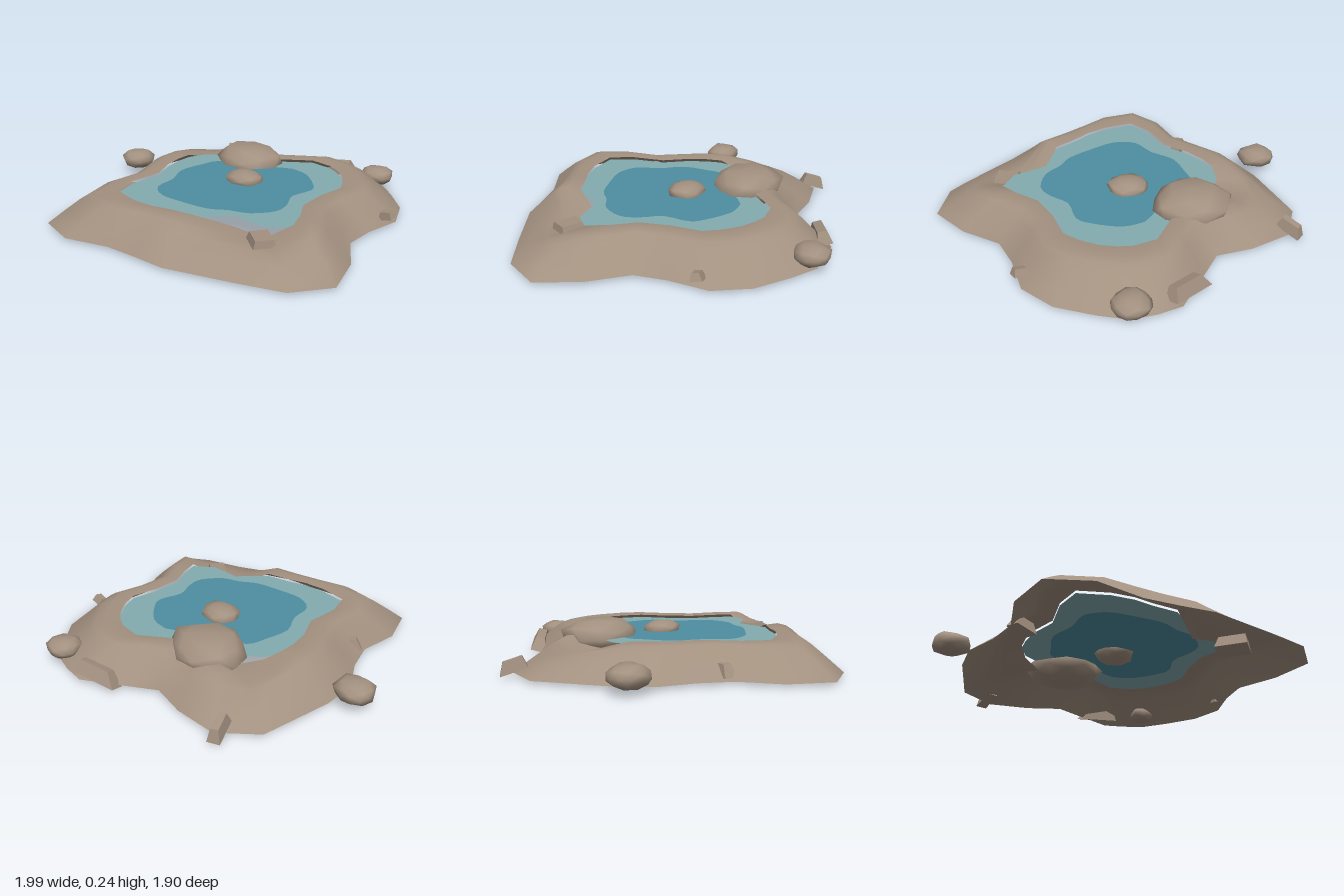
import * as THREE from 'three';
import { mergeVertices } from 'three/addons/utils/BufferGeometryUtils.js';

const rockMat = new THREE.MeshStandardMaterial({ color: 0xa39180, side: THREE.DoubleSide });
rockMat.name = 'stone';
const shallowMat = new THREE.MeshStandardMaterial({ color: 0x84acb0, side: THREE.DoubleSide });
shallowMat.name = 'shallowWater';
const deepMat = new THREE.MeshStandardMaterial({ color: 0x4e8fa2, side: THREE.DoubleSide });
deepMat.name = 'deepWater';

const WATER_Y = 0.138;

// Outlines as [x, z], running from the back round by the left side
const outer = [
  [0.02, -0.89], [0.15, -0.9], [0.28, -0.89], [0.42, -0.81], [0.59, -0.69], [0.7, -0.52], [0.7, -0.31],
  [0.73, -0.14], [0.89, 0.03], [1, 0.24], [0.9, 0.44], [0.68, 0.57], [0.37, 0.74], [0.2, 0.78],
  [0.02, 0.83], [-0.2, 0.95], [-0.43, 0.94], [-0.55, 0.73], [-0.57, 0.5], [-0.66, 0.34], [-0.79, 0.19],
  [-0.84, 0], [-0.85, -0.2], [-0.86, -0.4], [-0.72, -0.58], [-0.49, -0.62], [-0.29, -0.61], [-0.17, -0.72],
];
const inner = [
  [0.02, -0.56], [0.15, -0.57], [0.22, -0.55], [0.3, -0.51], [0.38, -0.44], [0.44, -0.36], [0.45, -0.2],
  [0.49, -0.04], [0.58, 0.07], [0.64, 0.17], [0.55, 0.27], [0.36, 0.3], [0.25, 0.47], [0.12, 0.52],
  [0.02, 0.57], [-0.1, 0.6], [-0.27, 0.6], [-0.34, 0.47], [-0.37, 0.28], [-0.46, 0.16], [-0.51, 0.05],
  [-0.53, -0.04], [-0.51, -0.14], [-0.43, -0.23], [-0.38, -0.3], [-0.28, -0.33], [-0.14, -0.4], [-0.05, -0.49],
];
const deep = [
  [0.02, -0.39], [0.14, -0.39], [0.28, -0.31], [0.34, -0.24], [0.34, -0.1], [0.41, 0], [0.44, 0.1],
  [0.38, 0.22], [0.28, 0.28], [0.2, 0.35], [0.05, 0.4], [-0.1, 0.43], [-0.22, 0.38], [-0.27, 0.25],
  [-0.36, 0.13], [-0.37, -0.02], [-0.36, -0.13], [-0.25, -0.2], [-0.1, -0.25], [-0.06, -0.33],
];

// Rim section: [fraction from outer to inner edge, height]
const section = [[0, 0], [0.25, 0.066], [0.48, 0.124], [0.6, 0.148], [0.76, 0.16], [1, 0.152]];
// Low spots where the rim is cut down: index -> greatest height
const notches = { 10: 0.08, 11: 0.08, 22: 0.125, 23: 0.09 };

function buildRim() {
  const n = outer.length, pos = [], index = [];
  for (const [t, y] of section) {
    for (let i = 0; i < n; i++) {
      const [ox, oz] = outer[i], [ix, iz] = inner[i];
      pos.push(ox + (ix - ox) * t, Math.min(y, notches[i] ?? 1), oz + (iz - oz) * t);
    }
  }
  for (let r = 0; r < section.length - 1; r++) {
    for (let i = 0; i < n; i++) {
      const a = r * n + i, b = r * n + (i + 1) % n, c = a + n, d = b + n;
      index.push(a, c, b, b, c, d);
    }
  }
  const g = new THREE.BufferGeometry();
  g.setAttribute('position', new THREE.Float32BufferAttribute(pos, 3));
  g.setIndex(index);
  g.computeVertexNormals();
  return g;
}

const toVec = ([x, z]) => new THREE.Vector2(x, -z);

function flatWater(points, hole) {
  const shape = new THREE.Shape(points);
  if (hole) shape.holes.push(new THREE.Path(hole));
  return new THREE.ShapeGeometry(shape).rotateX(-Math.PI / 2);
}

function seeded(seed) {
  let s = seed * 7919 + 17;
  return () => (s = (s * 16807) % 2147483647) / 2147483647;
}

// Weathered boulder: a ball with uneven radii and smooth shading
function boulder(seed, rx, ry, rz) {
  let g = new THREE.IcosahedronGeometry(1, 1);
  g.deleteAttribute('normal');
  g.deleteAttribute('uv');
  g = mergeVertices(g, 1e-3);
  const rnd = seeded(seed), p = g.attributes.position, v = new THREE.Vector3();
  rnd();
  for (let i = 0; i < p.count; i++) {
    v.fromBufferAttribute(p, i).multiplyScalar(0.88 + rnd() * 0.2);
    v.y = THREE.MathUtils.clamp(v.y, -0.85, 0.85);
    p.setXYZ(i, v.x * rx, v.y * ry, v.z * rz);
  }
  g.computeVertexNormals();
  return g;
}

// Broken slab: a block with a narrower, shifted top
function slab(w, h, d) {
  const g = new THREE.BoxGeometry(w, h, d), p = g.attributes.position;
  for (let i = 0; i < p.count; i++) {
    if (p.getY(i) > 0) p.setXYZ(i, p.getX(i) * 0.7 + w * 0.08, p.getY(i), p.getZ(i) * 0.6);
  }
  g.computeVertexNormals();
  return g;
}

export function createModel() {
  const model = new THREE.Group();
  model.name = 'pond';
  const add = (name, geo, mat, pos = [0, 0, 0], rot = [0, 0, 0]) => {
    const m = new THREE.Mesh(geo, mat);
    m.name = name;
    m.position.set(...pos);
    m.rotation.set(...rot);
    model.add(m);
  };

  add('rim', buildRim(), rockMat);

  // Water in two depths
  const deepLine = new THREE.SplineCurve([...deep, deep[0]].map(toVec)).getPoints(60).slice(0, -1);
  add('shallowWater', flatWater(inner.map(toVec), deepLine), shallowMat, [0, WATER_Y, 0]);
  add('deepWater', flatWater(deepLine), deepMat, [0, WATER_Y, 0]);

  // Boulders
  add('largeBoulder', boulder(3, 0.225, 0.1, 0.2), rockMat, [-0.275, 0.135, -0.31]);
  add('centreBoulder', boulder(5, 0.117, 0.058, 0.1), rockMat, [-0.01, 0.142, -0.06]);
  add('rightBoulder', boulder(8, 0.108, 0.06, 0.1), rockMat, [-0.895, 0.068, 0.105]);
  add('backBoulder', boulder(11, 0.1, 0.058, 0.092), rockMat, [0.265, 0.066, -0.86]);

  // Slabs leaning on and under the rim
  add('notchSlab', slab(0.17, 0.1, 0.15), rockMat, [0.57, 0.07, 0.31], [0, -0.45, 0]);
  add('backSlab', slab(0.25, 0.07, 0.08), rockMat, [-0.04, 0.045, -0.81], [0.3, 0.45, 0]);
  add('cornerSlab', slab(0.14, 0.06, 0.065), rockMat, [-0.745, 0.04, -0.565], [0, -1, 0.3]);
  add('sideSlab', slab(0.08, 0.04, 0.06), rockMat, [0.685, 0.055, -0.455], [0.2, 0.2, 0.2]);
  add('buriedSlab', slab(0.15, 0.06, 0.07), rockMat, [-0.52, 0.045, 0.42], [0, 0.9, 0]);

  return model;
}
